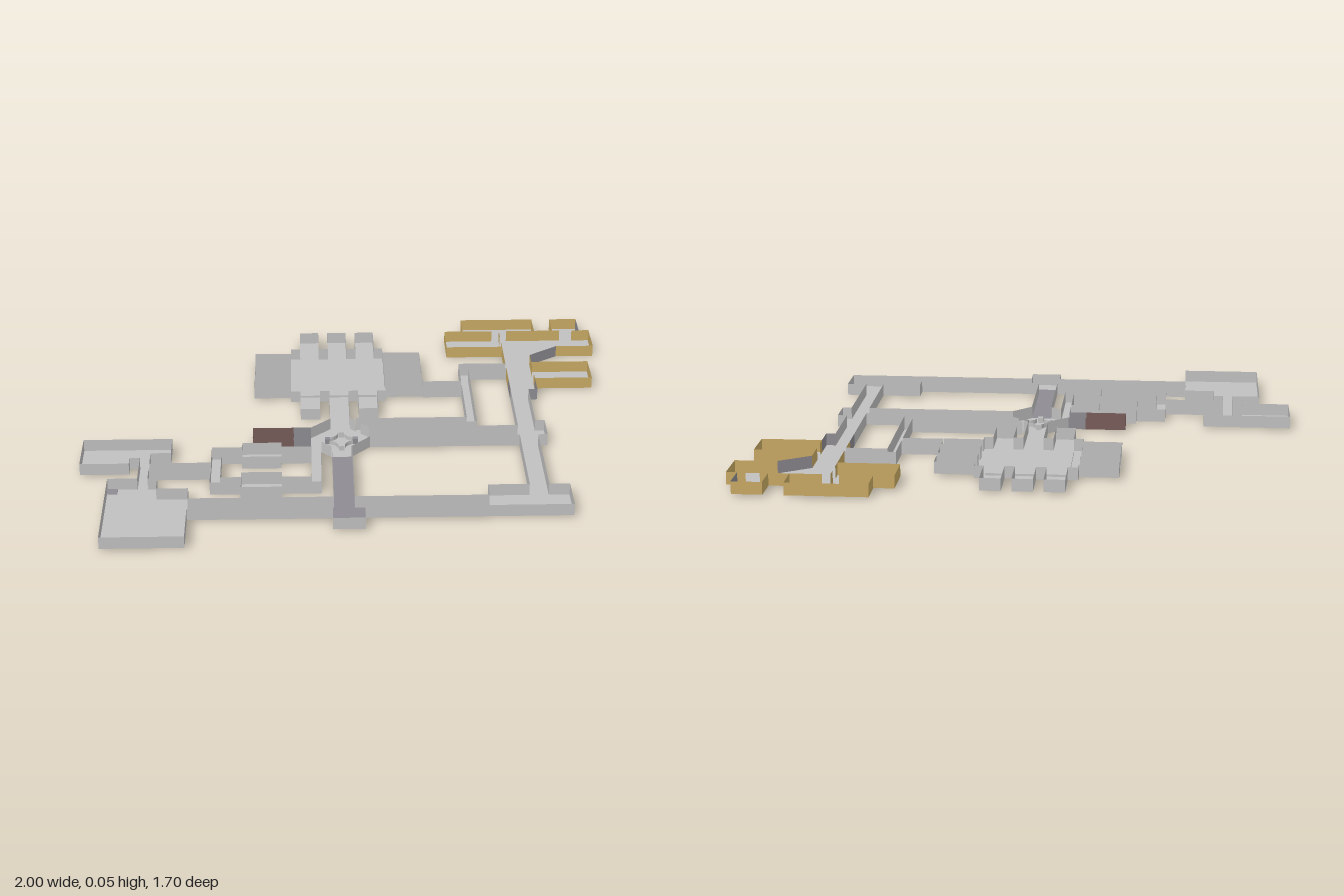
import * as THREE from 'three';

const BASE = 0.006, TOP = 0.052;
const mat = (name, color) => {
  const m = new THREE.MeshStandardMaterial({ color, side: THREE.DoubleSide });
  m.name = name;
  return m;
};

// Corner lists (x, z) of convex floor pieces
const rect = (x0, x1, z0, z1) => [[x0, z0], [x0, z1], [x1, z1], [x1, z0]];

// Interval of segment a-b lying inside a convex polygon, or null
function covered(a, b, poly) {
  const cx = poly.reduce((s, p) => s + p[0], 0) / poly.length;
  const cz = poly.reduce((s, p) => s + p[1], 0) / poly.length;
  let t0 = 0, t1 = 1;
  for (let i = 0; i < poly.length; i++) {
    const p = poly[i], q = poly[(i + 1) % poly.length];
    const side = (x, z) => (q[0] - p[0]) * (z - p[1]) - (q[1] - p[1]) * (x - p[0]);
    const s = Math.sign(side(cx, cz));
    const da = s * side(a[0], a[1]), db = s * side(b[0], b[1]);
    if (da < 0 && db < 0) return null;
    if (da < 0) t0 = Math.max(t0, da / (da - db));
    else if (db < 0) t1 = Math.min(t1, da / (da - db));
  }
  return t1 > t0 ? [t0, t1] : null;
}

// Parts of a polygon's outline that do not open into another piece
function outline(poly, all) {
  const walls = [];
  const cx = poly.reduce((s, p) => s + p[0], 0) / poly.length;
  const cz = poly.reduce((s, p) => s + p[1], 0) / poly.length;
  poly.forEach((p, i) => {
    const q = poly[(i + 1) % poly.length];
    const dx = q[0] - p[0], dz = q[1] - p[1], len = Math.hypot(dx, dz);
    let nx = dz / len, nz = -dx / len;
    if (nx * (p[0] - cx) + nz * (p[1] - cz) < 0) { nx = -nx; nz = -nz; }
    const out = ([x, z]) => [x + nx * 0.003, z + nz * 0.003];
    const cuts = all.filter(o => o !== poly).map(o => covered(out(p), out(q), o))
      .filter(Boolean).sort((a, b) => a[0] - b[0]);
    const at = t => [p[0] + dx * t, p[1] + dz * t];
    let t = 0;
    for (const [a, b] of [...cuts, [1, 1]]) {
      if ((a - t) * len > 0.007) walls.push([at(t), at(a)]);
      t = Math.max(t, b);
    }
  });
  return walls;
}

function geometry(pos) {
  const g = new THREE.BufferGeometry();
  g.setAttribute('position', new THREE.Float32BufferAttribute(pos, 3));
  g.computeVertexNormals();
  return g;
}
const floorGeometry = (polys, y) => geometry(polys.flatMap(p =>
  p.slice(2).flatMap((c, i) => [p[0], p[i + 1], c].flatMap(([x, z]) => [x, y, z]))));
const wallGeometry = (segs, y0, y1 = TOP) => geometry(segs.flatMap(([[ax, az], [bx, bz]]) => [
  ax, y0, az, bx, y0, bz, bx, y1, bz, ax, y0, az, bx, y1, bz, ax, y1, az]));

export function createModel() {
  const stone = mat('paleStone', 0xc0c0c0);
  const slate = mat('darkStone', 0x8e8c92);
  const tan = mat('tanWall', 0xc8a963);
  const brown = mat('brownStone', 0x775c58);
  const group = new THREE.Group();
  const add = (name, geo, material) => {
    const m = new THREE.Mesh(geo, material);
    m.name = name;
    group.add(m);
    return m;
  };

  // Square hall with bays on every side
  const hall = [rect(-0.227, 0.142, -0.596, -0.227), rect(-0.078, -0.003, -0.227, 0)];
  for (const x of [-0.19, -0.078, 0.034]) hall.push(rect(x, x + 0.075, -0.745, -0.596));
  for (const z of [-0.557, -0.446, -0.335]) {
    hall.push(rect(-0.37, -0.227, z, z + 0.075), rect(0.142, 0.29, z, z + 0.075));
  }
  for (const x of [-0.19, 0.034]) hall.push(rect(x, x + 0.075, -0.227, -0.08));

  const hub = [[-0.077, 0], [-0.002, 0], [0.068, 0.07], [0.068, 0.145],
    [-0.002, 0.217], [-0.077, 0.217], [-0.152, 0.145], [-0.152, 0.07]];

  const areas = [
    { name: 'hall', polys: hall },
    { name: 'hub', polys: [hub] },
    { name: 'eastCorridor', polys: [rect(0.068, 0.63, 0.07, 0.145), rect(0.63, 0.7, -0.225, 0.515),
      rect(0.7, 0.735, 0.032, 0.145), rect(0.48, 0.775, 0.515, 0.66)] },
    { name: 'southCorridor', floor: slate, polys: [rect(-0.075, 0, 0.217, 0.587), rect(-0.52, 0.48, 0.587, 0.66)] },
    { name: 'southAlcove', polys: [rect(-0.08, 0.035, 0.66, 0.735)] },
    { name: 'southWestRoom', polys: [rect(-0.595, -0.52, 0.587, 0.66), rect(-0.89, -0.595, 0.515, 0.845),
      rect(-0.89, -0.71, 0.44, 0.515)] },
    { name: 'westRoom', polys: [rect(-0.782, -0.745, 0.29, 0.44), rect(-1, -0.82, 0.147, 0.33),
      rect(-0.82, -0.745, 0.147, 0.29), rect(-0.745, -0.67, 0.147, 0.255)] },
    { name: 'westPassages', y: 0.002, polys: [rect(-0.745, -0.52, 0.33, 0.368), rect(-0.52, -0.483, 0.217, 0.477),
      rect(-0.483, -0.152, 0.217, 0.255), rect(-0.483, -0.152, 0.44, 0.477), rect(-0.152, -0.116, 0.145, 0.477),
      rect(-0.408, -0.262, 0.185, 0.29), rect(-0.408, -0.26, 0.405, 0.512)] },
    { name: 'eastPassages', y: 0, polys: [rect(0.02, 0.478, 0, 0.036), rect(0.442, 0.478, -0.45, 0),
      rect(0.478, 0.63, -0.45, -0.41), rect(0.29, 0.442, -0.3, -0.264)] },
    { name: 'brownCellEntry', floor: slate, wall: slate, polys: [rect(-0.217, -0.152, 0.07, 0.145)] },
    { name: 'brownCell', floor: brown, wall: brown, polys: [rect(-0.37, -0.217, 0.07, 0.145)] },
    { name: 'northEastRooms', wall: tan, polys: [rect(0.63, 0.735, -0.6, -0.318), rect(0.405, 1, -0.745, -0.6),
      rect(0.48, 0.775, -0.853, -0.745), rect(0.735, 0.96, -0.46, -0.318)] },
    { name: 'northEastLanding', wall: slate, polys: [rect(0.63, 0.735, -0.318, -0.225),
      [[0.735, -0.6], [0.735, -0.522], [0.85, -0.6]]] },
    { name: 'northEastCloset', wall: tan, polys: [rect(0.85, 0.96, -0.853, -0.745)] },
  ];

  // Floors, and walls wherever a floor ends
  const all = areas.flatMap(a => a.polys);
  for (const { name, polys, floor = stone, wall = stone, y = BASE } of areas) {
    add(name + 'Floor', floorGeometry(polys, y), floor);
    const segs = polys.flatMap(p => outline(p, all));
    const isDark = ([a, b]) => name === 'northEastCloset' && a[0] > 0.95 && b[0] > 0.95;
    add(name + 'Walls', wallGeometry(segs.filter(s => !isDark(s)), y), wall);
    if (segs.some(isDark)) add(name + 'EndWall', wallGeometry(segs.filter(isDark), y), slate);
  }

  // Partitions with door gaps in the north-east rooms
  const partitions = [
    [[0.63, -0.745], [0.63, -0.7]], [[0.63, -0.645], [0.63, -0.6]],
    [[0.735, -0.46], [0.735, -0.42]], [[0.735, -0.36], [0.735, -0.318]],
    [[0.48, -0.745], [0.6, -0.745]], [[0.66, -0.745], [0.775, -0.745]],
    [[0.85, -0.745], [0.88, -0.745]], [[0.93, -0.745], [0.96, -0.745]],
  ];
  add('partitions', wallGeometry(partitions, BASE), tan);

  // Low platform in the hall
  const platform = add('hallPlatform', new THREE.BoxGeometry(0.3, 0.008, 0.3), stone);
  platform.position.set(-0.0425, BASE + 0.004, -0.4115);

  // Dark floor patches
  for (const [x, z, w, d] of [[0.922, -0.351, 0.064, 0.064], [-0.871, 0.457, 0.036, 0.034]]) {
    add('floorPatch', new THREE.BoxGeometry(w, 0.003, d), slate).position.set(x, BASE + 0.0015, z);
  }

  // Curved screens and small posts around the hub centre
  const cx = -0.038, cz = 0.108;
  for (let k = 0; k < 4; k++) {
    const a = k * Math.PI / 2, segs = [];
    const point = i => {
      const t = a + Math.PI + (0.1 + 0.8 * i / 5) * Math.PI / 2;
      const ox = cx + 0.05 * (Math.cos(a) - Math.sin(a));
      const oz = cz + 0.05 * (Math.sin(a) + Math.cos(a));
      return [ox + 0.038 * Math.cos(t), oz + 0.038 * Math.sin(t)];
    };
    for (let i = 0; i < 5; i++) segs.push([point(i), point(i + 1)]);
    add('hubScreen', wallGeometry(segs, BASE, 0.022), stone);
    add('hubPost', new THREE.BoxGeometry(0.02, 0.02, 0.02), k % 2 ? stone : slate)
      .position.set(cx + 0.052 * Math.cos(a), BASE + 0.01, cz + 0.052 * Math.sin(a));
  }
  return group;
}
